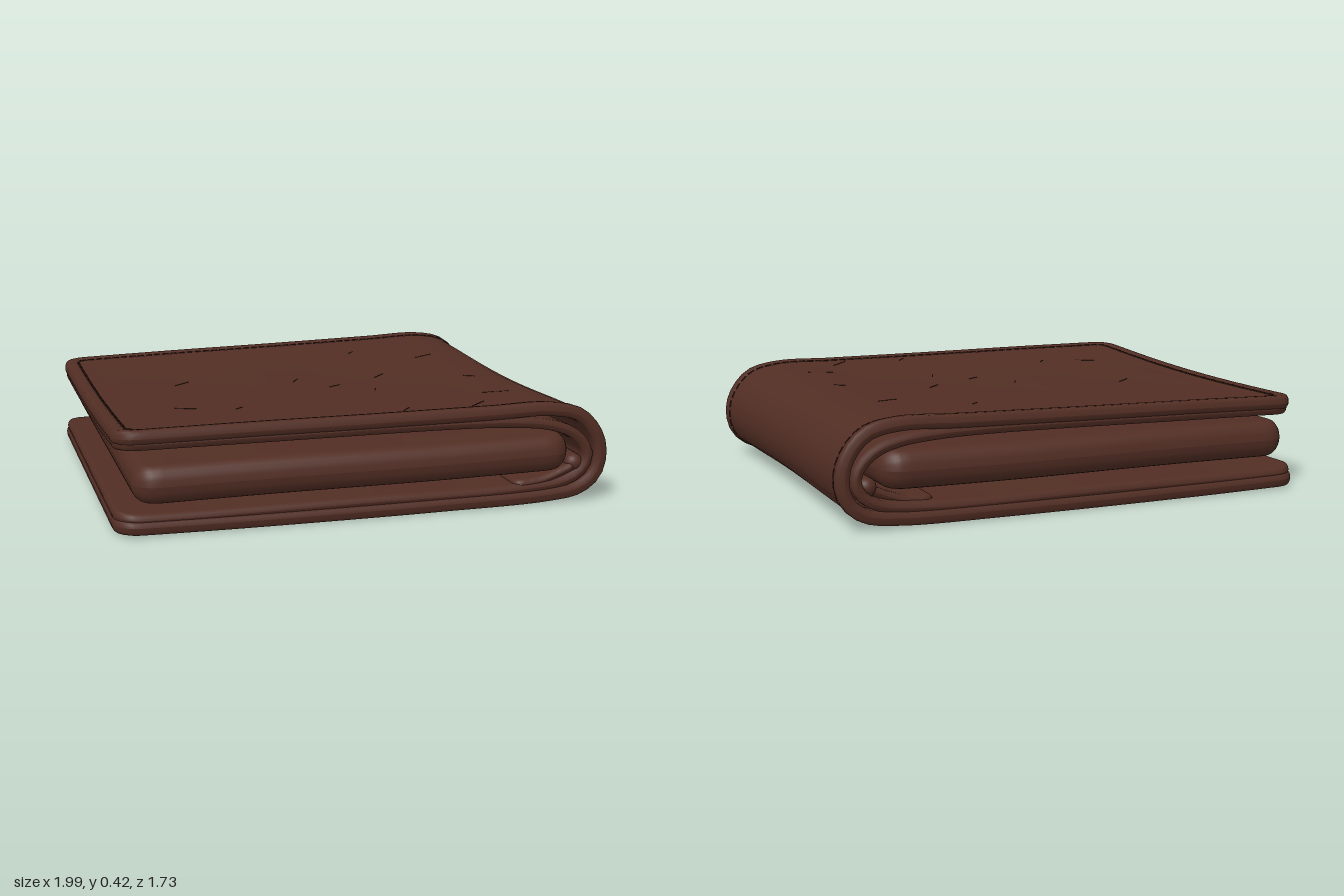
import * as THREE from 'three';
import { mergeGeometries } from 'three/addons/utils/BufferGeometryUtils.js';

const leather = new THREE.MeshStandardMaterial({ color: 0x522e24 });
leather.name = 'brown leather';
const thread = new THREE.MeshStandardMaterial({ color: 0x341c16 });
thread.name = 'dark thread';

// distances from the edge where the sheet is sampled finely
const EDGE = [0, 0.003, 0.01, 0.02, 0.034, 0.046, 0.053, 0.06, 0.067, 0.076, 0.1];

// samples 0..length, dense at both ends
function samples(length, inner) {
  const list = [...EDGE];
  const a = EDGE[EDGE.length - 1];
  for (let i = 1; i < inner; i++) list.push(a + (length - 2 * a) * i / inner);
  return list.concat(EDGE.map(d => length - d).reverse());
}

// A soft leather sheet: a path in x/y swept across z, with rounded corners and edges
function makeSheet({ path, thickness, half, radius, edge, rim = 0, groove = 0, ripple = 0, sag = 0, tilt = 0, drift = 0 }) {
  const curve = new THREE.CatmullRomCurve3(path.map(([x, y]) => new THREE.Vector3(x, y, 0)), false, 'centripetal');
  curve.arcLengthDivisions = 800;
  const length = curve.getLength();

  const offset = (s, z, side) => {
    const qs = Math.abs(s - length / 2) - length / 2 + radius;
    const qz = Math.abs(z) - half + radius;
    const d = Math.max(0, radius - Math.hypot(Math.max(qs, 0), Math.max(qz, 0)) - Math.min(Math.max(qs, qz), 0));
    const round = Math.sqrt(1 - (1 - Math.min(d / edge, 1)) ** 2);
    let h = thickness / 2 * round;
    if (side > 0) {
      h += rim * round * (1 - THREE.MathUtils.smoothstep(d, 0.04, 0.1));
      h -= groove * Math.exp(-(((d - 0.06) / 0.008) ** 2));
    }
    const wave = ripple * THREE.MathUtils.smoothstep(d, 0.06, 0.3);
    // the upper panel and spine sink in the middle, and the open end droops towards the back
    const sink = sag * (1 - THREE.MathUtils.smoothstep(s, 2, 2.35)) * Math.cos(Math.PI * z / (2 * half))
      + tilt * Math.max(0, 1 - s / 1.8) * (0.5 - z / (2 * half));
    return side * h - sink + wave * (Math.sin(5 * z + 2 * s) + 0.5 * Math.sin(9 * s - 4 * z));
  };
  const frame = s => {
    const u = THREE.MathUtils.clamp(s / length, 0, 1);
    const p = curve.getPointAt(u), t = curve.getTangentAt(u);
    return { p, n: new THREE.Vector3(-t.y, t.x, 0), shift: drift * u };
  };
  const place = (f, z, h) => f.p.clone().addScaledVector(f.n, h).setZ(z + f.shift);

  const rows = samples(length, 100);
  const pos = [], index = [];
  let cols = 0;
  for (const side of [1, -1]) {
    const base = pos.length / 3;
    rows.forEach((s, i) => {
      const f = frame(s);
      const toEnd = Math.min(s, length - s);
      const cut = toEnd < radius ? radius - Math.sqrt(radius ** 2 - (radius - toEnd) ** 2) : 0;
      const w = half - cut;
      const zs = samples(2 * w, 20);
      cols = zs.length;
      zs.forEach((z, j) => {
        pos.push(...place(f, z - w, offset(s, z - w, side)).toArray());
        if (i === 0 || j === 0) return;
        const d = base + i * cols + j, c = d - 1, b = d - cols, a = b - 1;
        if (side > 0) index.push(a, b, c, b, d, c);
        else index.push(a, c, b, b, c, d);
      });
    });
  }
  const geometry = new THREE.BufferGeometry();
  geometry.setAttribute('position', new THREE.Float32BufferAttribute(pos, 3));
  geometry.setIndex(index);
  geometry.computeVertexNormals();
  return {
    geometry, length,
    point: (s, z, lift) => place(frame(s), z, offset(s, z, 1) + lift),
    normal: s => frame(s).n,
  };
}

// A flat dash lying on a sheet between two (s, z) positions
function dash(sheet, a, b, width, lift) {
  const p = sheet.point(a.x, a.y, lift), q = sheet.point(b.x, b.y, lift);
  const g = new THREE.BoxGeometry(width, 0.006, p.distanceTo(q));
  const along = q.clone().sub(p).normalize();
  const across = new THREE.Vector3().crossVectors(sheet.normal((a.x + b.x) / 2), along).normalize();
  const up = new THREE.Vector3().crossVectors(along, across);
  const m = new THREE.Matrix4().makeBasis(across, up, along).setPosition(p.add(q).multiplyScalar(0.5));
  return g.applyMatrix4(m);
}

export function createModel() {
  const wallet = new THREE.Group();
  wallet.name = 'wallet';
  const add = (name, geometry, material = leather) => {
    const mesh = new THREE.Mesh(geometry, material);
    mesh.name = name;
    wallet.add(mesh);
    return mesh;
  };

  // outer cover folded round the spine
  const half = 0.83;
  const cover = makeSheet({
    path: [[-0.995, 0.39], [-0.5, 0.391], [0, 0.389], [0.5, 0.389], [0.75, 0.389], [0.875, 0.358], [0.947, 0.275],
      [0.966, 0.195], [0.945, 0.115], [0.88, 0.064], [0.75, 0.044], [0.3, 0.036], [-0.5, 0.036], [-0.995, 0.042]],
    thickness: 0.046, half, radius: 0.1, edge: 0.015, rim: 0.008, groove: 0.006, ripple: 0.002,
    sag: 0.02, tilt: 0.04, drift: -0.03,
  });
  add('outerCover', cover.geometry);

  // lining lying against the cover, thickest round the spine
  add('innerLining', makeSheet({
    path: [[-0.99, 0.366], [-0.5, 0.364], [0.4, 0.358], [0.6, 0.348], [0.74, 0.33], [0.84, 0.295], [0.9, 0.24],
      [0.918, 0.19], [0.89, 0.13], [0.82, 0.092], [0.6, 0.07], [0, 0.068], [-0.9, 0.068], [-0.99, 0.075]],
    thickness: 0.044, half: 0.822, radius: 0.1, edge: 0.015, sag: 0.02, tilt: 0.04, drift: -0.03,
  }).geometry);

  // padded card section between the covers
  add('cardSection', makeSheet({
    path: [[-0.93, 0.212], [-0.4, 0.216], [0.3, 0.216], [0.825, 0.222]],
    thickness: 0.148, half: 0.866, radius: 0.1, edge: 0.055, ripple: 0.002,
  }).geometry);

  // hinge flap and rolled seam joining the card section to the spine
  add('hingeFlap', makeSheet({
    path: [[0.6, 0.088], [0.72, 0.1], [0.82, 0.135], [0.88, 0.165]],
    thickness: 0.036, half: 0.8, radius: 0.04, edge: 0.015,
  }).geometry);
  const roll = add('hingeRoll', new THREE.CapsuleGeometry(0.038, 1.55, 6, 14));
  roll.rotation.x = Math.PI / 2;
  roll.position.set(0.865, 0.16, -0.01);

  // stitching: a rounded rectangle in the cover's own surface coordinates
  const inset = 0.06, r = 0.05, L = cover.length - inset, w = half - inset;
  const outline = new THREE.Shape();
  outline.absarc(L - r, w - r, r, 0, Math.PI / 2);
  outline.absarc(inset + r, w - r, r, Math.PI / 2, Math.PI);
  outline.absarc(inset + r, -w + r, r, Math.PI, Math.PI * 1.5);
  outline.absarc(L - r, -w + r, r, Math.PI * 1.5, Math.PI * 2);
  outline.closePath();
  const pts = outline.getSpacedPoints(280);
  const stitches = [];
  for (let i = 0; i < 280; i++) {
    stitches.push(dash(cover, pts[i], pts[i].clone().lerp(pts[i + 1], 0.7), 0.009, 0.002));
  }
  add('stitching', mergeGeometries(stitches), thread);

  // small scuffs on the top panel: x, z, x, z
  const scuffs = [[-0.6, -0.1, -0.53, -0.16], [-0.69, 0.38, -0.61, 0.42], [-0.1, 0, -0.07, -0.05],
    [0.02, 0.15, 0.07, 0.12], [0.18, 0.28, 0.2, 0.23], [0.26, 0.02, 0.32, -0.04], [0.57, -0.31, 0.66, -0.35],
    [0.3, -0.5, 0.33, -0.53], [0.15, 0.73, 0.19, 0.68], [0.44, 0.73, 0.52, 0.65], [0.64, 0.12, 0.68, 0.15],
    [-0.46, 0.47, -0.43, 0.44], [0.58, 0.48, 0.69, 0.5]];
  add('scuffs', mergeGeometries(scuffs.map(([x1, z1, x2, z2]) =>
    dash(cover, new THREE.Vector2(x1 + 1, z1), new THREE.Vector2(x2 + 1, z2), 0.004, -0.0015))), thread);

  return wallet;
}
